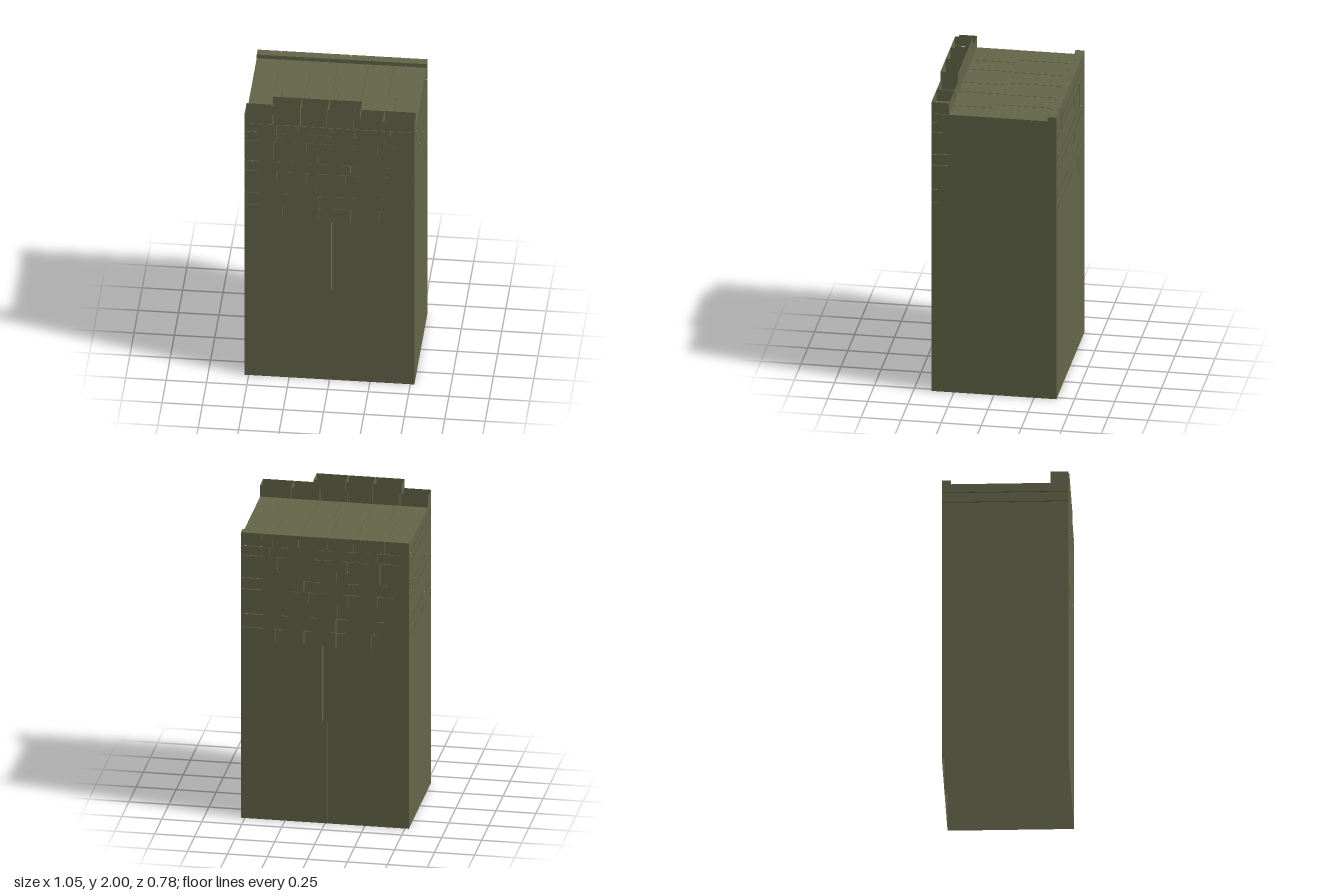
import * as THREE from 'three';

const HALF_W = 0.525, HALF_D = 0.39;

export function createModel() {
  const model = new THREE.Group();
  model.name = 'stoneTower';
  const stone = new THREE.MeshStandardMaterial({ color: 0x65674a, side: THREE.DoubleSide });
  stone.name = 'mossyStone';

  // Box between two corners; a hollow block has no top or bottom
  function block(parent, name, [x0, x1], [y0, y1], [z0, z1], hollow) {
    const geo = new THREE.BoxGeometry(x1 - x0, y1 - y0, z1 - z0);
    if (hollow) {
      const index = Array.from(geo.index.array);
      geo.setIndex([...index.slice(0, 12), ...index.slice(24)]);
    }
    const mesh = new THREE.Mesh(geo, stone);
    mesh.name = name;
    mesh.position.set((x0 + x1) / 2, (y0 + y1) / 2, (z0 + z1) / 2);
    parent.add(mesh);
  }

  // Row of blocks side by side, cut at the given x joints
  function course(name, blockName, ys, zs, joints, { from = -HALF_W, to = HALF_W, gap = 0.004, hollow = true } = {}) {
    const row = new THREE.Group();
    row.name = name;
    const edges = [from, ...joints, to];
    for (let i = 0; i < edges.length - 1; i++) {
      const a = edges[i] + (i > 0 ? gap / 2 : 0);
      const b = edges[i + 1] - (i < edges.length - 2 ? gap / 2 : 0);
      block(row, blockName, [a, b], ys, zs, hollow);
    }
    model.add(row);
  }

  const fullDepth = [-HALF_D, HALF_D];

  // Large foundation blocks
  course('lowerBase', 'baseBlock', [0, 0.67], fullDepth, [-0.015], { gap: 0.001 });
  course('upperBase', 'baseBlock', [0.67, 1.17], fullDepth, [0.013], { gap: 0.008 });

  // Thin brick courses: bottom, top, joints
  const rows = [
    [1.17, 1.263, [-0.29, -0.07, 0.13, 0.31]],
    [1.267, 1.353, [-0.07]],
    [1.357, 1.44, [-0.08]],
    [1.44, 1.517, [-0.33, -0.14, 0.10]],
    [1.521, 1.59, [0.13]],
    [1.594, 1.665, [-0.345, -0.075]],
    [1.665, 1.738, [-0.345, -0.14, 0.295]],
    [1.742, 1.803, [-0.33, 0.345]],
  ];
  rows.forEach(([y0, y1, joints], i) =>
    course('brickCourse' + (i + 1), 'brick', [y0, y1], fullDepth, joints));

  // Roof slabs in two staggered halves
  const slabY = [1.807, 1.863];
  course('backRoofSlabs', 'roofSlab', slabY, [-HALF_D, 0.008],
    [-0.375, -0.18, -0.018, 0.165, 0.325], { hollow: false });
  course('frontRoofSlabs', 'roofSlab', slabY, [0.008, HALF_D],
    [-0.33, -0.19, 0.016, 0.157, 0.377], { hollow: false });

  // Low curb along the back edge
  course('backCurb', 'curbStone', [1.863, 1.89], [-HALF_D, -0.335],
    [-0.375, -0.225, -0.082, 0.055, 0.243, 0.398], { gap: 0.002, hollow: false });

  // Open-topped front parapet in two steps
  const parapetZ = [0.28, HALF_D];
  course('lowerParapet', 'parapetBlock', [1.865, 1.94], parapetZ,
    [-0.35, -0.18, -0.02, 0.15, 0.33]);
  course('upperParapet', 'parapetBlock', [1.94, 2], parapetZ,
    [-0.18, -0.01], { from: -0.36, to: 0.19 });

  return model;
}
